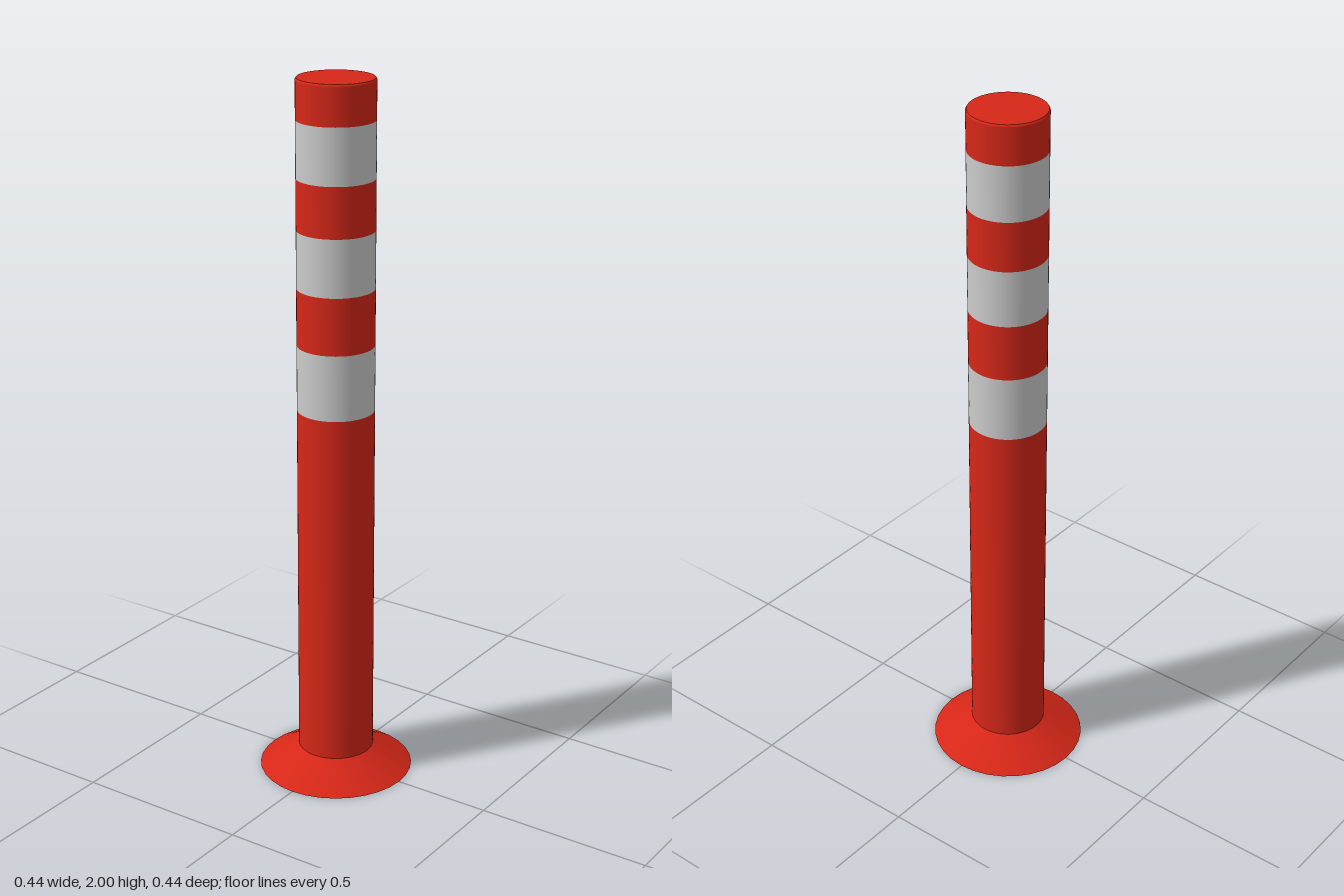
import * as THREE from 'three';

const RADIUS = 0.107;
const SIDES = 64;

export function createModel() {
  const group = new THREE.Group();
  const red = new THREE.MeshStandardMaterial({ color: 0xd62718 });
  const grey = new THREE.MeshStandardMaterial({ color: 0xcccccc });

  const add = (name, geometry, material, y) => {
    const mesh = new THREE.Mesh(geometry, material);
    mesh.name = name;
    mesh.position.y = y;
    group.add(mesh);
  };

  // Flared foot, closed underneath
  add('base', new THREE.CylinderGeometry(RADIUS, 0.219, 0.065, 32), red, 0.0325);

  // Post built as stacked sleeves, alternating red and reflective bands
  const levels = [0.065, 1.09, 1.275, 1.435, 1.595, 1.735, 1.89, 1.995];
  for (let i = 0; i < levels.length - 1; i++) {
    const height = levels[i + 1] - levels[i];
    const isBand = i % 2 === 1;
    add(
      isBand ? 'reflectiveBand' : 'postSection',
      new THREE.CylinderGeometry(RADIUS, RADIUS, height, SIDES, 1, true),
      isBand ? grey : red,
      levels[i] + height / 2
    );
  }

  // Flat cap with a fine chamfered rim
  add('topCap', new THREE.CylinderGeometry(RADIUS - 0.003, RADIUS, 0.005, SIDES), red, 1.9975);

  return group;
}
